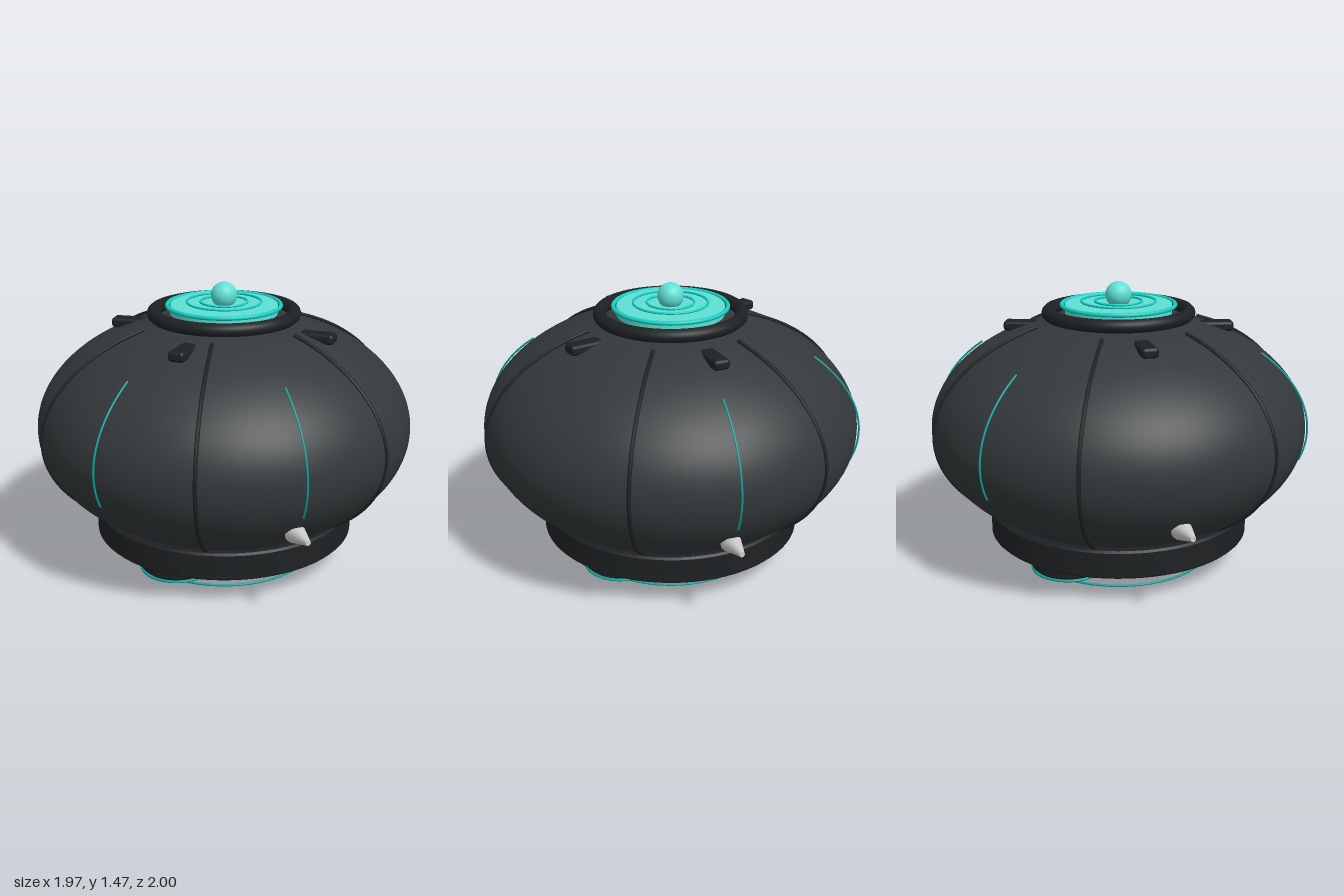
import * as THREE from 'three';
import { RoundedBoxGeometry } from 'three/addons/geometries/RoundedBoxGeometry.js';

const mat = (color) => new THREE.MeshStandardMaterial({ color });
const shell = mat(0x33383a), trim = mat(0x1e2123), teal = mat(0x0f9f99);
const brightTeal = mat(0x14d0c4), glow = mat(0x5fe0d2), metal = mat(0xcccccc);
const MID = 0.73; // height of the widest point of the body

export function createModel() {
  const model = new THREE.Group();
  model.name = 'saucerPod';
  model.position.z = -0.01;
  const root = new THREE.Group();
  root.name = 'podAssembly';
  model.add(root);

  const add = (name, geometry, material, x = 0, y = 0, z = 0, parent = root) => {
    const mesh = new THREE.Mesh(geometry, material);
    mesh.name = name;
    mesh.position.set(x, y, z);
    parent.add(mesh);
    return mesh;
  };
  // Horizontal ring
  const ring = (name, r, tube, y, material, x = 0, z = 0) =>
    add(name, new THREE.TorusGeometry(r, tube, 12, 72).rotateX(Math.PI / 2), material, x, y, z);
  // Solid disc with a small bevel on both rims; hard corners are kept by doubling the points
  const disc = (name, r, h, bevel, y, material, x = 0, z = 0) => {
    const corners = [[0, 0], [r - bevel, 0], [r, bevel], [r, h - bevel], [r - bevel, h], [0, h]];
    const pts = corners.flatMap(([a, b]) => [new THREE.Vector2(a, b), new THREE.Vector2(a, b)]);
    return add(name, new THREE.LatheGeometry(pts.slice(1, -1), 72), material, x, y, z);
  };
  // Group turned so that its local +x points outward at the angle (0 = +x, 90 = +z)
  const spoke = (name, degrees) => {
    const group = new THREE.Group();
    group.name = name;
    group.rotation.y = -THREE.MathUtils.degToRad(degrees);
    root.add(group);
    return group;
  };
  // Tube that follows the body's side from one height to another
  const meridian = (a, b, yTop, yBottom, tube) => {
    const t0 = Math.asin((yTop - MID) / b), t1 = Math.asin((yBottom - MID) / b);
    const pts = [];
    for (let i = 0; i <= 16; i++) {
      const t = t0 + (t1 - t0) * i / 16;
      pts.push(new THREE.Vector3(a * Math.cos(t), MID + b * Math.sin(t), 0));
    }
    return new THREE.TubeGeometry(new THREE.CatmullRomCurve3(pts), 48, tube, 8);
  };

  // Main body
  add('body', new THREE.SphereGeometry(0.975, 96, 64).scale(1, 0.59 / 0.975, 1), shell, 0, MID, 0);

  // Seam ribs
  const rib = meridian(0.976, 0.597, 1.265, 0.27, 0.01);
  for (let i = 0; i < 6; i++) add('seamRib', rib, trim, 0, 0, 0, spoke('seam', i * 60));

  // Light strips
  const strip = meridian(0.985, 0.6, 1.13, 0.57, 0.005);
  for (const a of [90, 150, 270, 330]) add('lightStrip', strip, teal, 0, 0, 0, spoke('light', a));

  // Spikes with their dark mounts
  const spike = new THREE.CylinderGeometry(0.013, 0.052, 0.14, 16).rotateZ(-Math.PI / 2);
  const mount = new THREE.SphereGeometry(0.03, 16, 12);
  for (const a of [90, 210, 330]) {
    const group = spoke('spikeMount', a);
    add('spike', spike, metal, 0.935, 0.465, 0, group).rotation.z = 0.07;
    add('mount', mount, trim, 0.875, 0.5, 0, group);
  }

  // Shoulder clamps
  const clamp = new RoundedBoxGeometry(0.19, 0.052, 0.085, 3, 0.018);
  for (const a of [45, 135, 215, 325]) {
    add('clamp', clamp, trim, 0.5, 1.235, 0, spoke('shoulder', a));
  }

  // Top hatch
  ring('hatchCollar', 0.36, 0.034, 1.316, trim);
  disc('hatchDisc', 0.275, 0.05, 0.003, 1.31, glow);
  ring('hatchRim', 0.29, 0.011, 1.355, brightTeal);
  ring('hatchRingOuter', 0.19, 0.006, 1.372, brightTeal);
  ring('hatchRingInner', 0.12, 0.006, 1.372, brightTeal);
  add('beacon', new THREE.SphereGeometry(0.067, 32, 24), glow, 0, 1.405, 0);

  // Base collar and its light rings
  disc('baseCollar', 0.686, 0.146, 0.01, 0.139, trim);
  ring('baseLight', 0.57, 0.01, 0.128, teal);
  ring('groundRing', 0.49, 0.006, 0.007, teal);

  // Thruster pads
  for (const a of [30, 150, 270]) {
    const t = THREE.MathUtils.degToRad(a);
    const x = 0.4 * Math.cos(t), z = 0.4 * Math.sin(t);
    disc('thrusterPad', 0.19, 0.07, 0.012, 0.038, trim, x, z);
    ring('thrusterRing', 0.187, 0.007, 0.035, teal, x, z);
    disc('thrusterCore', 0.06, 0.025, 0.003, 0.018, teal, x, z);
  }
  return model;
}
